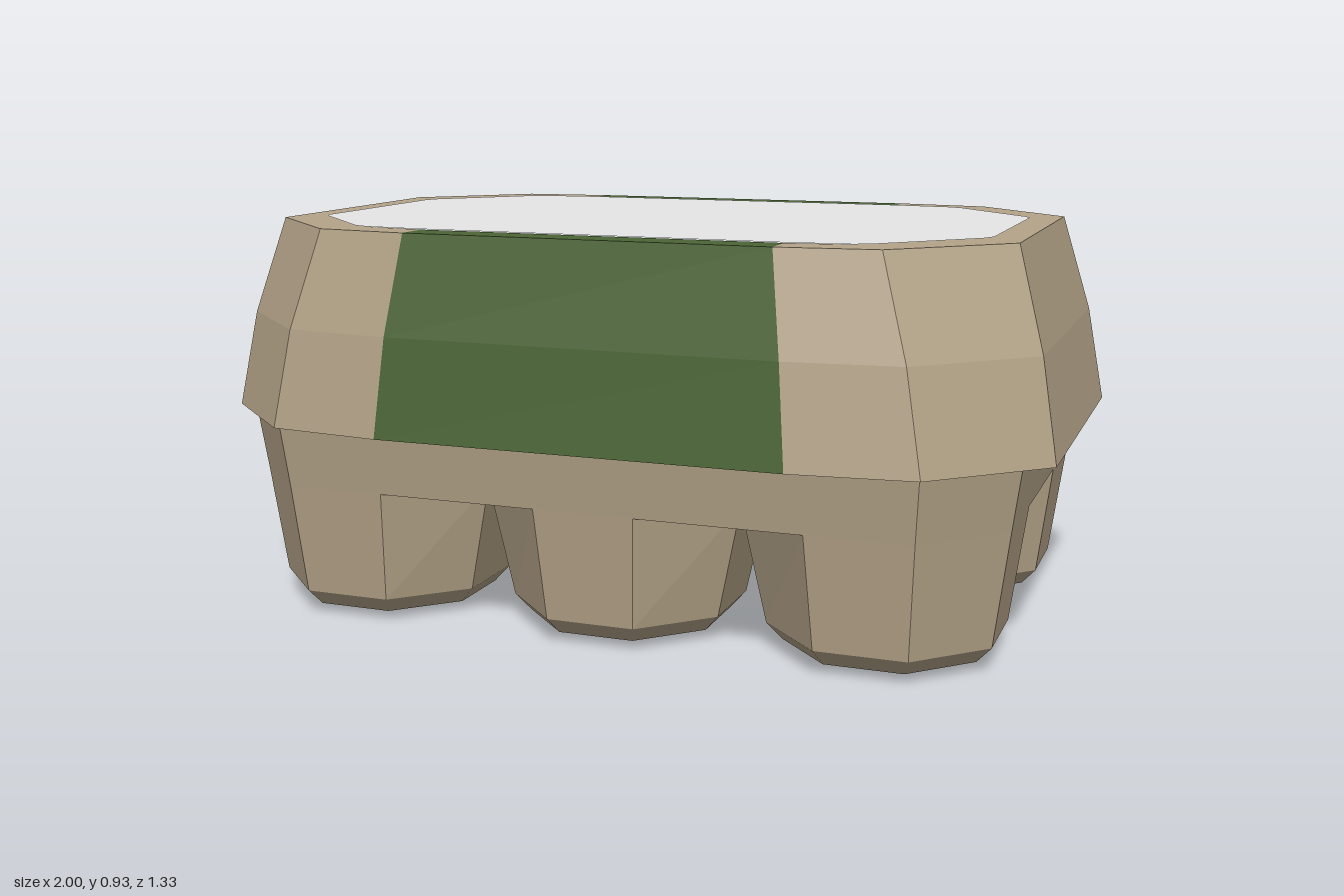
import * as THREE from 'three';

const material = (name, color) => {
  const m = new THREE.MeshStandardMaterial({ color });
  m.name = name;
  return m;
};

// Mirror first-quadrant [x, z] points (front to side) into a full closed loop
function mirrorLoop(q) {
  const r = [...q].reverse();
  return [
    ...q,
    ...r.map(([x, z]) => [x, -z]),
    ...q.map(([x, z]) => [-x, -z]),
    ...r.map(([x, z]) => [-x, z]),
  ];
}

const ringAt = (y, loop) => loop.map(([x, z]) => [x, y, z]);

// Flat-faced skin through rings listed bottom to top; keep() picks the segments
function loft(rings, { capBottom = false, keep = () => true } = {}) {
  const pos = [];
  const n = rings[0].length;
  for (let k = 0; k < rings.length - 1; k++) {
    const a = rings[k], b = rings[k + 1];
    for (let i = 0; i < n; i++) {
      if (!keep(i)) continue;
      const j = (i + 1) % n;
      pos.push(...a[i], ...a[j], ...b[j], ...a[i], ...b[j], ...b[i]);
    }
  }
  if (capBottom) {
    const a = rings[0];
    for (let i = 1; i < n - 1; i++) pos.push(...a[0], ...a[i + 1], ...a[i]);
  }
  const g = new THREE.BufferGeometry();
  g.setAttribute('position', new THREE.Float32BufferAttribute(pos, 3));
  g.computeVertexNormals();
  return g;
}

// Eight-sided cup ring; sides facing the outside of the tray lean less
function cupRing(cx, cz, [y, outer, inner, a]) {
  const xp = cx > 0 ? outer : inner, xn = cx < 0 ? outer : inner;
  const zp = cz > 0 ? outer : inner, zn = cz < 0 ? outer : inner;
  return [
    [a, zp], [xp, a], [xp, -a], [a, -zn],
    [-a, -zn], [-xn, -a], [-xn, a], [-a, zp],
  ].map(([x, z]) => [cx + x, y, cz + z]);
}

export function createModel() {
  const model = new THREE.Group();
  model.name = 'eggCarton';
  const pulp = material('pulp tan', 0xb5a489);
  const green = material('band green', 0x4b6535);
  const pale = material('label pale grey', 0xebebeb);

  const add = (parent, name, geometry, mat) => {
    const mesh = new THREE.Mesh(geometry, mat);
    mesh.name = name;
    parent.add(mesh);
    return mesh;
  };

  // Lid: underside lip, bulging walls and flat rim
  const lid = new THREE.Group();
  lid.name = 'lid';
  model.add(lid);
  const lidRings = [
    [0.47, [[0.46, 0.60], [0.74, 0.60], [0.92, 0.43]]],
    [0.47, [[0.48, 0.665], [0.76, 0.635], [1.0, 0.41]]],
    [0.70, [[0.46, 0.64], [0.72, 0.612], [0.96, 0.385]]],
    [0.93, [[0.43, 0.595], [0.655, 0.57], [0.895, 0.34]]],
    [0.93, [[0.43, 0.51], [0.57, 0.49], [0.80, 0.25]]],
  ].map(([y, q]) => ringAt(y, mirrorLoop(q)));
  const isBand = (i) => i === 5 || i === 11; // middle of back and front
  add(lid, 'lidShell', loft(lidRings, { keep: (i) => !isBand(i) }), pulp);
  add(lid, 'lidBand', loft(lidRings, { keep: isBand }), green);

  // Label on the lid top
  const outline = mirrorLoop([
    [0.43, 0.517], [0.575, 0.505], [0.61, 0.49], [0.81, 0.285], [0.825, 0.25],
  ]).map(([x, z]) => new THREE.Vector2(x, z));
  const labelGeometry = new THREE.ShapeGeometry(new THREE.Shape(outline));
  labelGeometry.rotateX(-Math.PI / 2);
  add(lid, 'topLabel', labelGeometry, pale).position.y = 0.932;

  // Tray: one slab joining two rows of three cups
  const tray = new THREE.Group();
  tray.name = 'tray';
  model.add(tray);
  const slabRings = [
    ringAt(0.325, mirrorLoop([[0.745, 0.60], [0.915, 0.43]])),
    ringAt(0.47, mirrorLoop([[0.755, 0.62], [0.935, 0.44]])),
  ];
  add(tray, 'traySlab', loft(slabRings, { capBottom: true }), pulp);

  // Cup profile: height, outer half-width, inner half-width, half side length
  const profile = [
    [0, 0.155, 0.155, 0.065],
    [0.02, 0.22, 0.22, 0.09],
    [0.06, 0.255, 0.255, 0.105],
    [0.325, 0.29, 0.312, 0.12],
  ];
  for (const cx of [-0.625, 0, 0.625]) {
    for (const cz of [-0.31, 0.31]) {
      const rings = profile.map((p) => cupRing(cx, cz, p));
      add(tray, 'eggCup', loft(rings, { capBottom: true }), pulp);
    }
  }
  return model;
}
